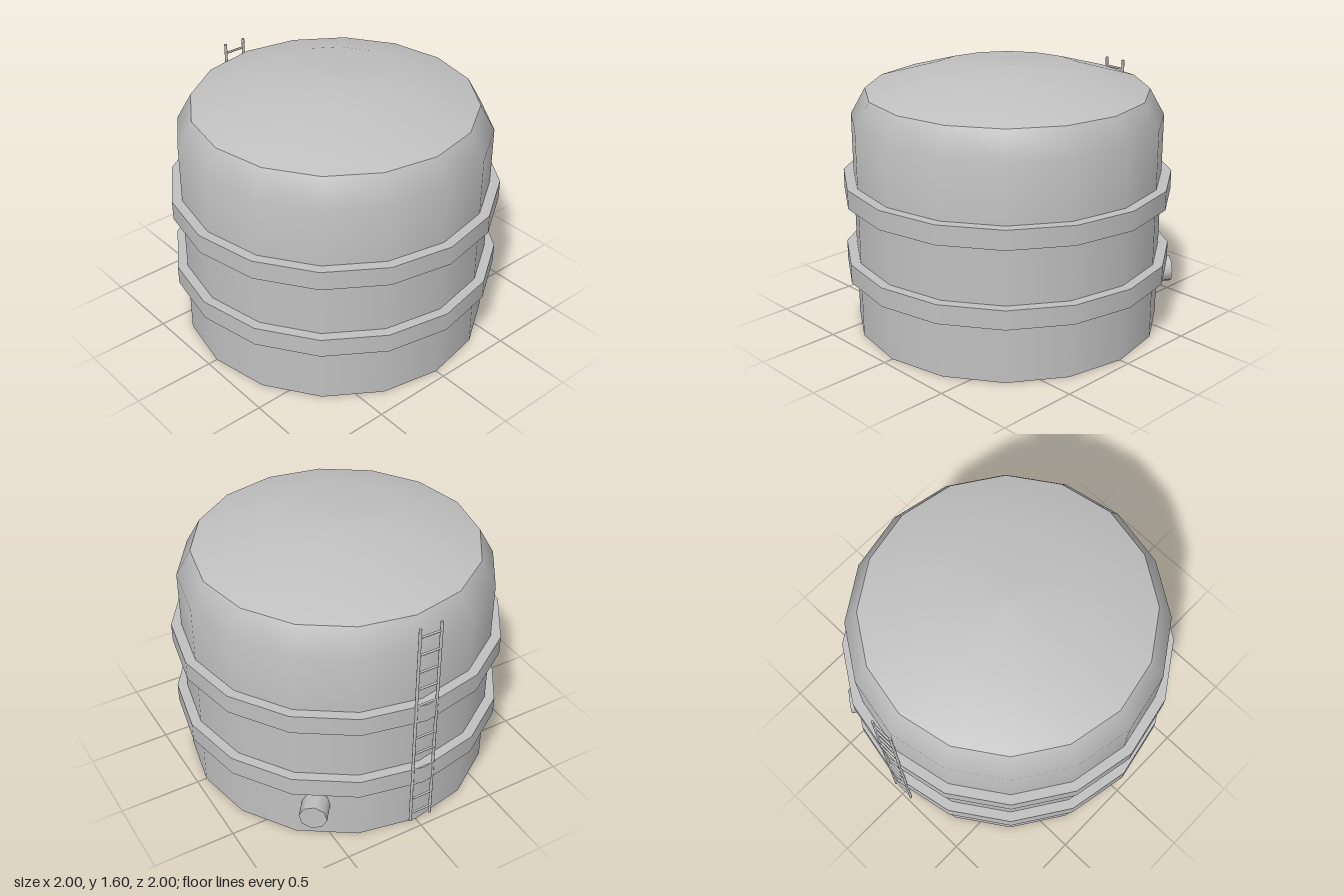
import * as THREE from 'three';

const SIDES = 16;

export function createModel() {
  const model = new THREE.Group();
  model.name = 'storageTank';
  const grey = new THREE.MeshStandardMaterial({ color: 0xc0c0c0 });
  grey.name = 'paintedSteelGrey';

  function add(name, geometry, parent = model) {
    const mesh = new THREE.Mesh(geometry, grey);
    mesh.name = name;
    parent.add(mesh);
    return mesh;
  }
  const lathe = (profile) =>
    new THREE.LatheGeometry(profile.map(([r, y]) => new THREE.Vector2(r, y)), SIDES);

  // Wall flowing into a sloped shoulder, with a shallow domed roof and a flat floor
  add('wall', lathe([[0.94, 0], [0.94, 0.42], [0.94, 0.89], [0.94, 1.3], [0.85, 1.46]]));
  add('roof', lathe([[0.85, 1.46], [0.465, 1.577], [0, 1.6]]));
  add('floor', new THREE.CircleGeometry(0.94, SIDES).rotateX(Math.PI / 2));

  // Two reinforcing bands
  for (const [name, y] of [['lowerBand', 0.417], ['upperBand', 0.888]]) {
    add(name, new THREE.CylinderGeometry(1, 1, 0.118, SIDES)).position.y = y;
  }

  // Outlet pipe, pointing out from the back left
  const outward = new THREE.Vector3(0.61, 0, -0.792).normalize();
  const pipe = add('outletPipe', new THREE.CylinderGeometry(0.083, 0.083, 0.24, 8));
  pipe.quaternion.setFromUnitVectors(new THREE.Vector3(0, 1, 0), outward);
  pipe.position.copy(outward).multiplyScalar(1.045 - 0.12).setY(0.238);

  // Ladder on the back
  const ladder = new THREE.Group();
  ladder.name = 'ladder';
  ladder.position.z = -0.983;
  model.add(ladder);
  for (const side of [-1, 1]) {
    const rail = add('ladderRail', new THREE.CylinderGeometry(0.009, 0.009, 1.415, 8), ladder);
    rail.position.set(side * 0.068, 0.77, 0);
  }
  for (let i = 0; i < 12; i++) {
    const rung = add('ladderRung', new THREE.CylinderGeometry(0.007, 0.007, 0.136, 6), ladder);
    rung.rotation.z = Math.PI / 2;
    rung.position.y = 0.12 + i * 0.118;
  }

  return model;
}
